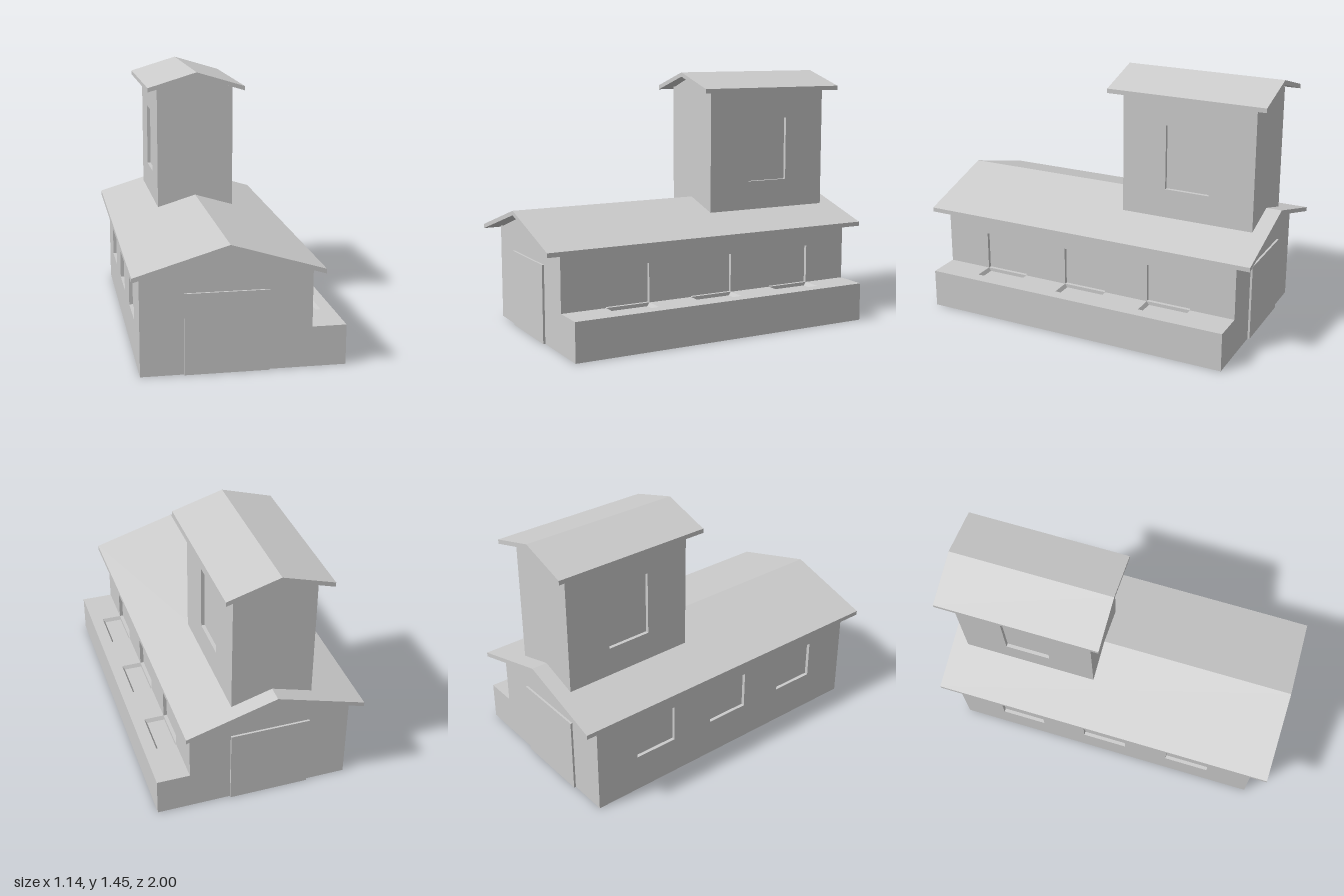
import * as THREE from 'three';

const RIDGE_X = -0.07;   // both roofs share this ridge line
const RECESS = 0.02;     // depth of the window recesses
const WINDOW_HALF = 0.13;
const BAYS = [-0.52, 0, 0.52];

const material = new THREE.MeshStandardMaterial({ color: 0xcccccc, flatShading: true });

function add(parent, name, geometry) {
  const mesh = new THREE.Mesh(geometry, material);
  mesh.name = name;
  parent.add(mesh);
  return mesh;
}

function box(x0, x1, y0, y1, z0, z1) {
  return new THREE.BoxGeometry(x1 - x0, y1 - y0, z1 - z0)
    .translate((x0 + x1) / 2, (y0 + y1) / 2, (z0 + z1) / 2);
}

function shapeOf(points) {
  return new THREE.Shape(points.map(([x, y]) => new THREE.Vector2(x, y)));
}

function rectangle(a0, a1, b0, b1) {
  return shapeOf([[a0, b0], [a1, b0], [a1, b1], [a0, b1]]);
}

function extrude(shape, depth) {
  return new THREE.ExtrudeGeometry(shape, { depth, bevelEnabled: false });
}

// Cross-section in x and y, carried from z0 to z1
function prism(points, z0, z1) {
  return extrude(shapeOf(points), z1 - z0).translate(0, 0, z0);
}

// Gable roof: a bent slab of even vertical thickness
function gableRoof(half, ridgeY, eaveY, z0, z1) {
  const t = 0.025;
  const l = RIDGE_X - half, r = RIDGE_X + half;
  return prism([[l, eaveY - t], [RIDGE_X, ridgeY - t], [r, eaveY - t],
    [r, eaveY], [RIDGE_X, ridgeY], [l, eaveY]], z0, z1);
}

// Side wall skin, pierced by windows, lying in x0..x0 + RECESS
function sideWall(x0, y0, y1, z0, z1, bays, sill, head) {
  const shape = rectangle(z0, z1, y0, y1);
  for (const z of bays) {
    shape.holes.push(rectangle(z - WINDOW_HALF, z + WINDOW_HALF, sill, head));
  }
  return extrude(shape, RECESS).rotateY(-Math.PI / 2).translate(x0 + RECESS, 0, 0);
}

// Walls of one block: a gabled core with a pierced skin on each side
function walledBlock(name, half, bottom, eave, peak, z0, z1, bays, sill, head) {
  const group = new THREE.Group();
  group.name = name;
  const l = RIDGE_X - half, r = RIDGE_X + half;
  add(group, name + 'Core', prism([[l + RECESS, bottom], [r - RECESS, bottom],
    [r - RECESS, eave], [RIDGE_X, peak], [l + RECESS, eave]], z0, z1));
  add(group, name + 'RightWall', sideWall(l, bottom, eave, z0, z1, bays, sill, head));
  add(group, name + 'LeftWall', sideWall(r - RECESS, bottom, eave, z0, z1, bays, sill, head));
  return group;
}

// Top of the side ledge, with a splayed tray below each window
function ledgeTop(x0, x1, trayX, y0, y1, halfZ) {
  const splay = 0.013;
  const shape = rectangle(x0, x1, -halfZ, halfZ);
  for (const z of BAYS) {
    shape.holes.push(rectangle(x0 + 0.005, trayX, z - WINDOW_HALF, z + WINDOW_HALF));
  }
  const geometry = extrude(shape, y1 - y0).rotateX(-Math.PI / 2).translate(0, y0, 0);
  const p = geometry.attributes.position;
  for (let i = 0; i < p.count; i++) {
    const x = p.getX(i), z = p.getZ(i);
    if (p.getY(i) > y0 + 0.001 || Math.abs(z) > halfZ - 0.01) continue;
    const bay = BAYS.find((b) => Math.abs(z - b) < WINDOW_HALF + 0.01);
    if (bay === undefined) continue;
    p.setZ(i, z - Math.sign(z - bay) * splay);
    if (Math.abs(x - trayX) < 0.001) p.setX(i, x - splay);
  }
  geometry.computeVertexNormals();
  return geometry;
}

export function createModel() {
  const model = new THREE.Group();
  model.name = 'barnWithTower';

  // Main hall
  model.add(walledBlock('hall', 0.455, 0, 0.549, 0.69, -0.91, 0.91, BAYS, 0.22, 0.44));
  add(model, 'hallRoof', gableRoof(0.5, 0.71, 0.56, -1, 1));

  // Sliding doors on both gable ends
  add(model, 'frontDoor', box(-0.295, 0.155, 0, 0.44, 0.9, 0.922));
  add(model, 'backDoor', box(-0.295, 0.155, 0, 0.44, -0.922, -0.9));

  // Low ledge along the left side
  add(model, 'sideLedge', box(0.375, 0.57, 0, 0.2, -0.91, 0.91));
  add(model, 'sideLedgeTop', ledgeTop(0.375, 0.57, 0.5, 0.2, 0.22, 0.91));

  // Tower standing on the rear of the hall roof
  model.add(walledBlock('tower', 0.225, 0.6, 1.358, 1.43, -0.91, -0.13, [-0.52], 0.81, 1.18));
  add(model, 'towerRoof', gableRoof(0.286, 1.45, 1.364, -0.98, -0.06));

  return model;
}
